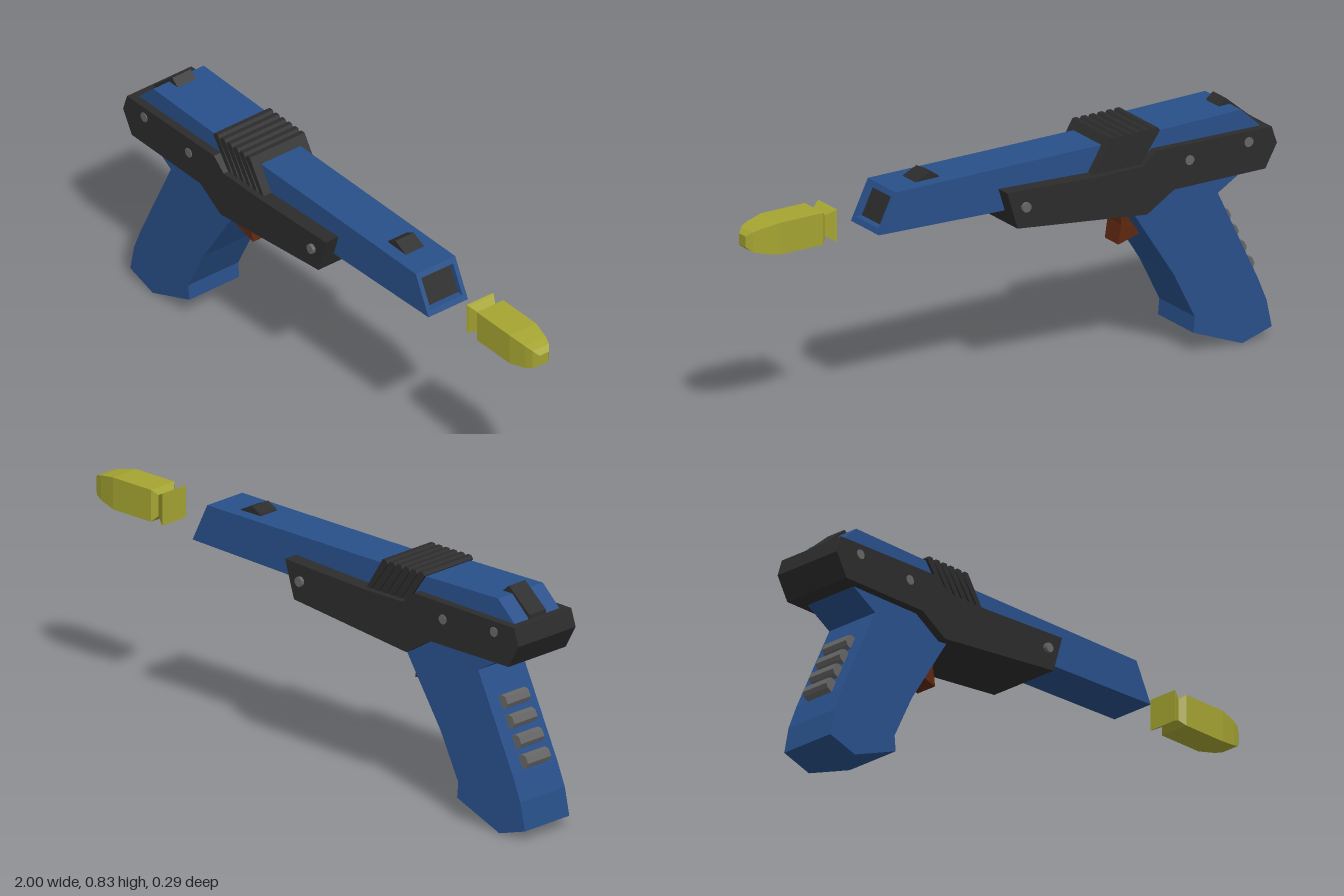
import * as THREE from 'three';

const mat = (color) => new THREE.MeshStandardMaterial({ color, flatShading: true });

export function createModel() {
  const model = new THREE.Group();
  const blue = mat(0x28508a), dark = mat(0x2c2c2c), brown = mat(0x5e2810);
  const grey = mat(0x666666), yellow = mat(0xa5a432);

  const add = (name, geometry, material) => {
    const mesh = new THREE.Mesh(geometry, material);
    mesh.name = name;
    model.add(mesh);
    return mesh;
  };
  const shapeOf = (pts) => new THREE.Shape(pts.map(([x, y]) => new THREE.Vector2(x, y)));
  // Side profile extruded evenly to both sides of z = 0
  const slab = (name, pts, half, material) => {
    const g = new THREE.ExtrudeGeometry(shapeOf(pts), { depth: 2 * half, bevelEnabled: false });
    return add(name, g.translate(0, 0, -half), material);
  };

  // Dark frame with a notch for the ribbed slide
  slab('frame', [[-0.98, 0.74], [-1, 0.68], [-0.955, 0.6], [-0.6, 0.6], [-0.495, 0.535],
    [0.01, 0.59], [0.05, 0.72], [-0.3, 0.705], [-0.48, 0.705], [-0.53, 0.748]], 0.134, dark);

  // Rear body and grip
  slab('rearBody', [[-0.96, 0.7], [-0.955, 0.74], [-0.88, 0.81], [-0.45, 0.803], [-0.4, 0.7]], 0.105, blue);
  slab('grip', [[-0.9, 0.605], [-0.79, 0.54], [-0.945, 0.215], [-0.98, 0.13], [-1, 0.035],
    [-0.885, 0], [-0.695, 0.075], [-0.7, 0.13], [-0.62, 0.29], [-0.455, 0.545], [-0.455, 0.605]], 0.104, blue);

  // Barrel: square tube with a slanted muzzle and a slightly tapered underside
  const ring = shapeOf([[-0.082, 0.655], [0.082, 0.655], [0.082, 0.79], [-0.082, 0.79]]);
  ring.holes.push(new THREE.Path([[-0.066, 0.673], [-0.066, 0.772], [0.066, 0.772], [0.066, 0.673]]
    .map(([x, y]) => new THREE.Vector2(x, y))));
  const barrel = new THREE.ExtrudeGeometry(ring, { depth: 0.85, bevelEnabled: false });
  barrel.rotateY(Math.PI / 2).translate(-0.4, 0, 0);
  const p = barrel.attributes.position;
  for (let i = 0; i < p.count; i++) {
    const y = p.getY(i);
    if (p.getX(i) > 0) p.setX(i, 0.45 + (0.79 - y) * 0.49);
    else if (y < 0.66) p.setY(i, 0.628);
  }
  barrel.computeVertexNormals();
  add('barrel', barrel, blue);
  slab('muzzlePlug', [[0.3, 0.665], [0.488, 0.665], [0.434, 0.776], [0.3, 0.776]], 0.068, dark);

  // Ribbed slide
  slab('slide', [[-0.55, 0.805], [-0.375, 0.805], [-0.305, 0.7], [-0.48, 0.7]], 0.108, dark);
  for (let i = 0; i < 6; i++) {
    const x = -0.558 + i * 0.033;
    slab('slideRib', [[x, 0.808], [x + 0.008, 0.819], [x + 0.024, 0.819], [x + 0.096, 0.704], [x + 0.075, 0.704]],
      0.114, dark);
  }

  // Sights
  slab('rearSight', [[-0.96, 0.735], [-0.957, 0.755], [-0.865, 0.833], [-0.835, 0.808], [-0.87, 0.79]], 0.038, dark);
  slab('frontSight', [[0.25, 0.785], [0.255, 0.797], [0.29, 0.815], [0.345, 0.79], [0.345, 0.785]], 0.038, dark);

  // Trigger with a hollowed front
  slab('trigger', [[-0.53, 0.56], [-0.53, 0.435], [-0.445, 0.412], [-0.456, 0.48], [-0.45, 0.545]], 0.04, brown);

  // Pads down the back of the grip
  for (let i = 0; i < 4; i++) {
    const pad = slab('gripPad', [[0.02, -0.025], [-0.012, -0.023], [-0.024, -0.012],
      [-0.024, 0.012], [-0.012, 0.023], [0.02, 0.025]], 0.054, grey);
    pad.position.set(-0.848 - i * 0.0305, 0.43 - i * 0.061, 0);
    pad.rotation.z = -0.45;
  }

  // Screws through the frame
  for (const [x, y, half] of [[-0.89, 0.705, 0.137], [-0.66, 0.69, 0.137], [-0.02, 0.66, 0.146]]) {
    const g = new THREE.CylinderGeometry(0.017, 0.017, 2 * half, 10);
    add('screw', g.rotateX(Math.PI / 2).translate(x, y, 0), grey);
  }

  // Square dart with a flared tail and a blunt nose
  const profile = [[0, 0.667], [0.055, 0.667], [0.052, 0.675], [0.036, 0.703], [0.055, 0.72],
    [0.055, 0.89], [0.043, 0.955], [0.034, 0.982], [0.019, 1], [0, 1]];
  const dart = new THREE.LatheGeometry(
    profile.map(([r, x]) => new THREE.Vector2(r * Math.SQRT2, x)), 4, Math.PI / 4);
  add('dart', dart.rotateZ(-Math.PI / 2).translate(0, 0.715, -0.01), yellow);

  return model;
}
